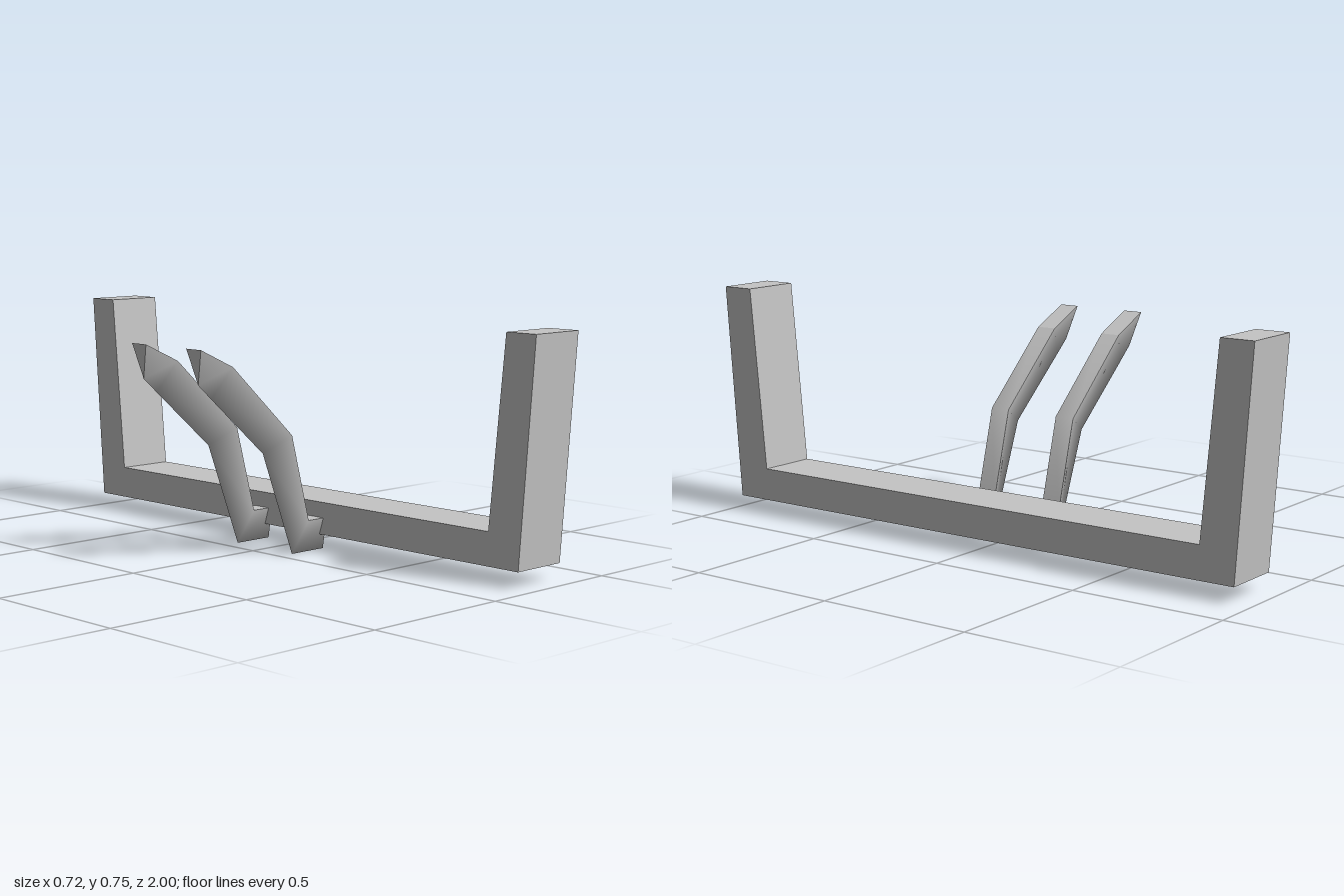
import * as THREE from 'three';
import { mergeGeometries } from 'three/addons/utils/BufferGeometryUtils.js';

const HALF = 0.033; // half width of a prong's flat edge

// Side outlines (x, y) of a prong: wide flat edge and sharp edge, tip to foot
const FLAT = [[-0.36, 0.68], [-0.23, 0.62], [0.022, 0.387], [0.097, 0.107], [0.178, 0.107]];
const SHARP = [[-0.342, 0.57], [-0.29, 0.524], [-0.073, 0.335], [0.055, 0], [0.195, 0]];

const at = (line, z) => line.map(([x, y]) => new THREE.Vector3(x, y, z));

// Smooth skin through rows of equal length
function skin(rows) {
  const n = rows[0].length;
  const index = [];
  for (let r = 0; r < rows.length - 1; r++) {
    for (let i = 0; i < n - 1; i++) {
      const a = r * n + i, b = a + n;
      index.push(a, a + 1, b + 1, a, b + 1, b);
    }
  }
  const g = new THREE.BufferGeometry().setFromPoints(rows.flat());
  g.setIndex(index);
  g.computeVertexNormals();
  return g;
}

function triangle(...points) {
  const g = new THREE.BufferGeometry().setFromPoints(points);
  g.setIndex([0, 1, 2]);
  g.computeVertexNormals();
  return g;
}

// Bent prong with a triangular section
function prongGeometry() {
  const front = at(FLAT, HALF), back = at(FLAT, -HALF), edge = at(SHARP, 0);
  const parts = [skin([back, edge, front])];
  // flat edge, creased at the tip and at the foot
  for (const [s, e] of [[0, 2], [1, 4], [3, 5]]) {
    parts.push(skin([front.slice(s, e), back.slice(s, e)]));
  }
  parts.push(triangle(front[0], back[0], edge[0]));
  parts.push(triangle(back[4], front[4], edge[4]));
  return mergeGeometries(parts);
}

// U-shaped bar with leaning end posts
function frameGeometry() {
  const half = [[0.95, 0.052], [1, 0.75], [0.89, 0.75], [0.835, 0.157]];
  const outline = [...half, ...half.map(([z, y]) => [-z, y]).reverse()];
  const shape = new THREE.Shape(outline.map(([z, y]) => new THREE.Vector2(z, y)));
  const g = new THREE.ExtrudeGeometry(shape, { depth: 0.195, bevelEnabled: false });
  return g.rotateY(Math.PI / 2).translate(0.163, 0, 0);
}

export function createModel() {
  const group = new THREE.Group();
  group.name = 'bracket';
  const grey = new THREE.MeshStandardMaterial({ color: 0xc4c4c4 });
  grey.name = 'grey';

  const frame = new THREE.Mesh(frameGeometry(), grey);
  frame.name = 'frame';
  group.add(frame);

  const geometry = prongGeometry();
  for (const [name, z] of [['frontProng', 0.122], ['backProng', -0.13]]) {
    const prong = new THREE.Mesh(geometry, grey);
    prong.name = name;
    prong.position.z = z;
    group.add(prong);
  }
  return group;
}
